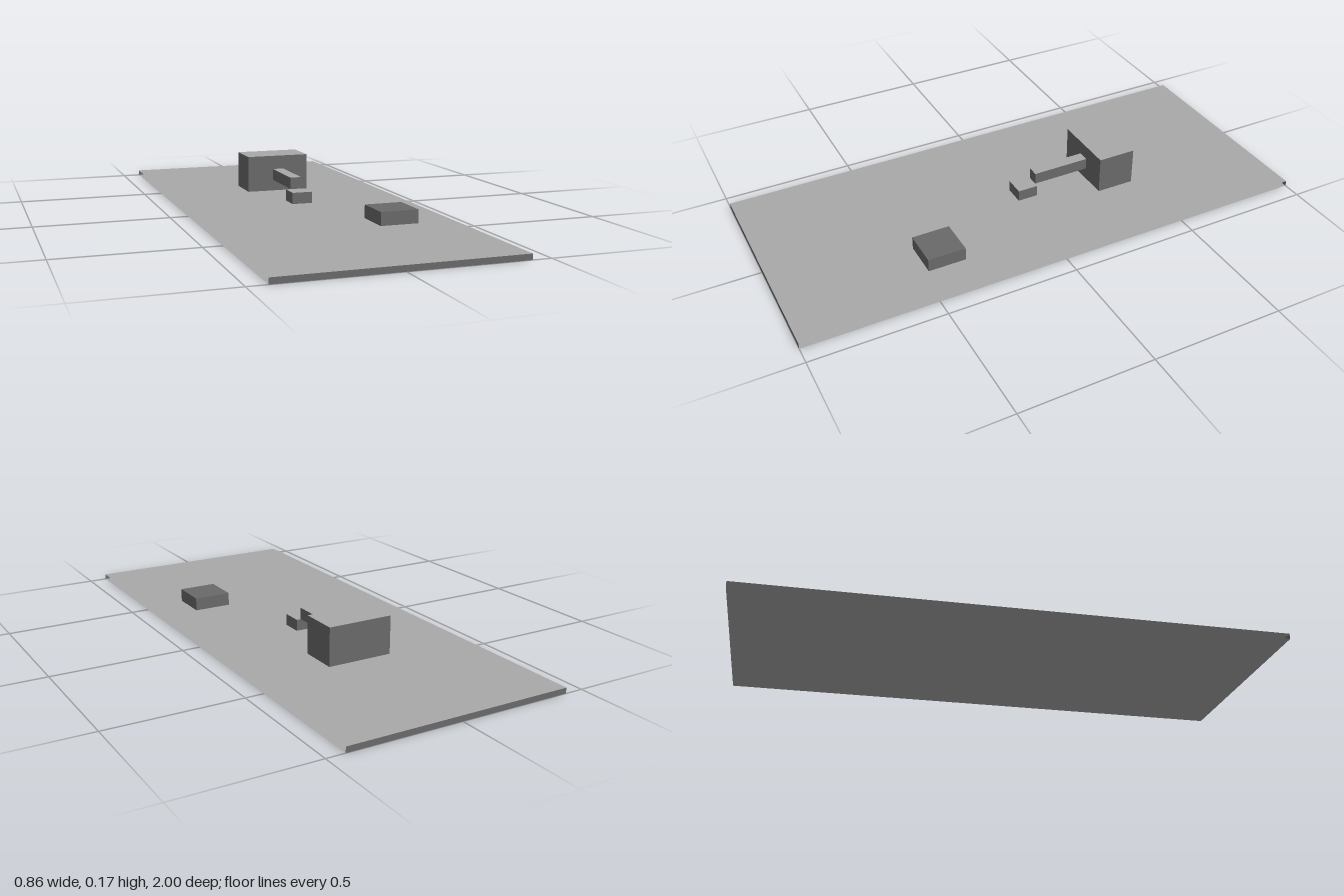
import * as THREE from 'three';

export function createModel() {
  const root = new THREE.Group();
  root.name = 'siteModel';

  const light = new THREE.MeshStandardMaterial({ color: 0xa9a9a9, side: THREE.DoubleSide });
  light.name = 'light grey';
  const dark = new THREE.MeshStandardMaterial({ color: 0x696969, side: THREE.DoubleSide });
  dark.name = 'dark grey';

  // Block given by its limits on each axis; caps colour the top and underside
  function block(name, [x0, x1], [y0, y1], [z0, z1], caps) {
    const geometry = new THREE.BoxGeometry(x1 - x0, y1 - y0, z1 - z0);
    const mesh = new THREE.Mesh(geometry, [dark, dark, caps, caps, dark, dark]);
    mesh.position.set((x0 + x1) / 2, (y0 + y1) / 2, (z0 + z1) / 2);
    mesh.name = name;
    root.add(mesh);
    return mesh;
  }

  const deck = 0.021;

  // Ground slab: closed at its short ends, open along its long sides
  const slab = block('groundSlab', [-0.431, 0.431], [0, deck], [-1, 1], light);
  slab.geometry.groups = slab.geometry.groups.filter((g) => g.materialIndex > 1);
  slab.geometry.setIndex(Array.from(slab.geometry.index.array).slice(12));
  slab.geometry.groups.forEach((g) => { g.start -= 12; });

  // Main building, raised walkway and its landing
  block('mainBuilding', [-0.105, 0.148], [deck, 0.166], [-0.453, -0.304], light);
  block('walkway', [0, 0.045], [0.066, 0.111], [-0.304, -0.077], light);
  block('landing', [-0.018, 0.061], [deck, 0.065], [-0.077, 0.003], light);

  // Separate low building
  block('lowBuilding', [0.144, 0.289], [deck, 0.071], [0.335, 0.48], dark);

  return root;
}
